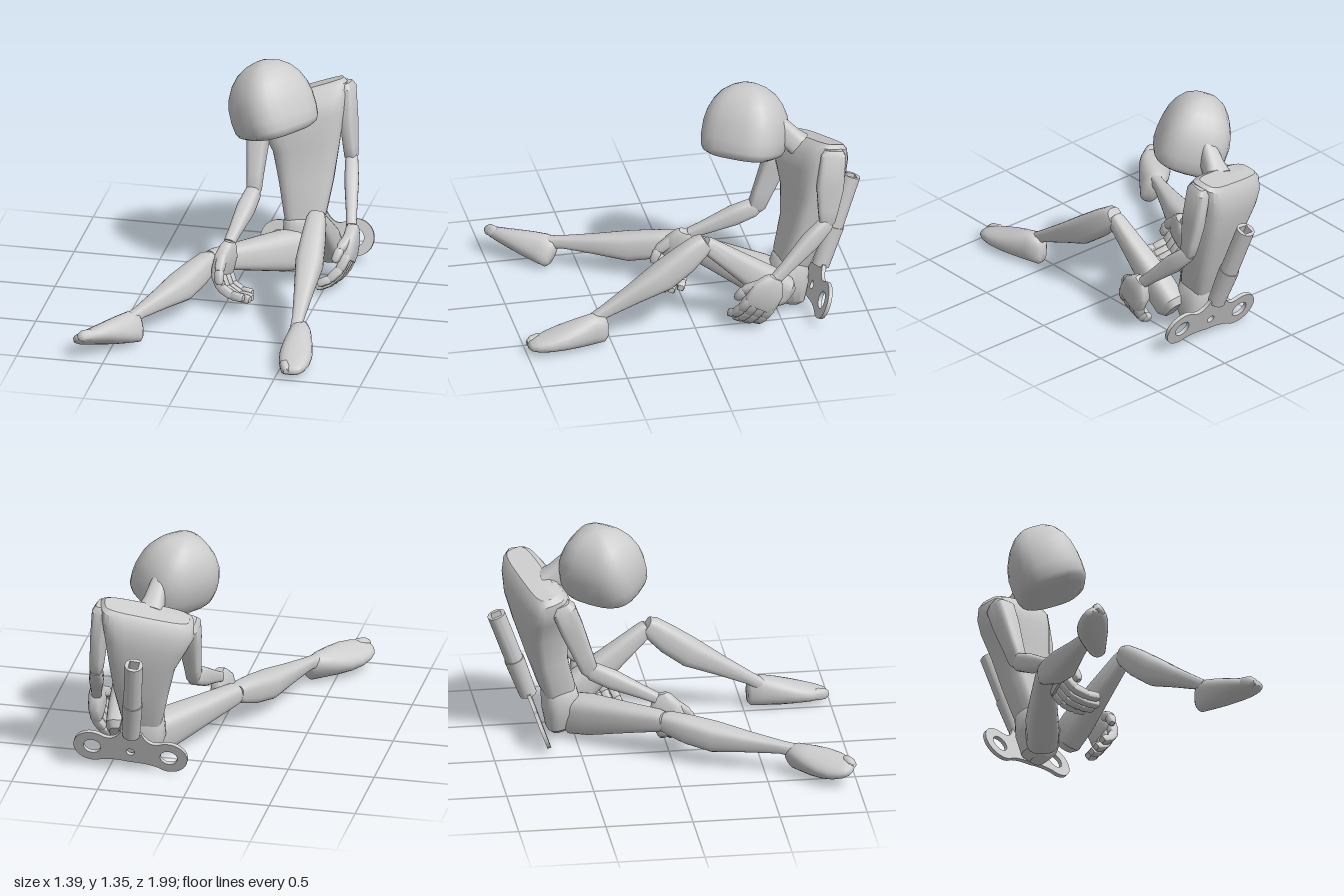
import * as THREE from 'three';
import { toCreasedNormals } from 'three/addons/utils/BufferGeometryUtils.js';

const material = new THREE.MeshStandardMaterial({ color: 0xcccccc });
const V = (a) => (a.isVector3 ? a.clone() : new THREE.Vector3(...a));
const SEG = 24;

function add(parent, name, geometry) {
  const mesh = new THREE.Mesh(geometry, material);
  mesh.name = name;
  parent.add(mesh);
  return mesh;
}

// Closed skin over rings { c: centre, u, v: half axes }, stacked along u x v
function loft(rings, power, crease = 0.6) {
  const pos = [], idx = [];
  const bend = (x) => Math.sign(x) * Math.pow(Math.abs(x), 2 / power);
  for (const { c, u, v } of rings) {
    for (let j = 0; j < SEG; j++) {
      const t = (j / SEG) * Math.PI * 2;
      const p = c.clone().addScaledVector(u, bend(Math.cos(t))).addScaledVector(v, bend(Math.sin(t)));
      pos.push(p.x, p.y, p.z);
    }
  }
  const last = rings.length - 1, start = rings.length * SEG;
  pos.push(...rings[0].c.toArray(), ...rings[last].c.toArray());
  for (let j = 0; j < SEG; j++) {
    const k = (j + 1) % SEG, e = last * SEG;
    for (let i = 0; i < last; i++) {
      const a = i * SEG, b = a + SEG;
      idx.push(a + j, a + k, b + k, a + j, b + k, b + j);
    }
    idx.push(start, k, j, start + 1, e + j, e + k);
  }
  const g = new THREE.BufferGeometry();
  g.setAttribute('position', new THREE.Float32BufferAttribute(pos, 3));
  g.setIndex(idx);
  return toCreasedNormals(g, crease);
}

// Limb from a to b; sections are [t, half width along side, half depth, width offset, depth offset]
function limb(parent, name, a, b, side, sections, power = 3, crease = 0.6) {
  a = V(a); b = V(b);
  const axis = b.clone().sub(a).normalize();
  const u = V(side); u.addScaledVector(axis, -u.dot(axis)).normalize();
  const v = axis.clone().cross(u);
  const rings = sections.map(([t, w, d, ou = 0, ov = 0]) => ({
    c: a.clone().lerp(b, t).addScaledVector(u, ou).addScaledVector(v, ov),
    u: u.clone().multiplyScalar(w), v: v.clone().multiplyScalar(d),
  }));
  return add(parent, name, loft(rings, power, crease));
}

// Hand from its wrist: thumb side, pointing direction, and the way the fingers curl
function hand(parent, name, wrist, spread, along, palm, curl) {
  const g = new THREE.Group();
  g.name = name;
  parent.add(g);
  const y = V(along).normalize();
  const x = V(spread); x.addScaledVector(y, -x.dot(y)).normalize();
  const z = x.clone().cross(y); if (z.dot(V(palm)) < 0) z.negate();
  const at = (i, j, k) => V(wrist).addScaledVector(x, i).addScaledVector(y, j).addScaledVector(z, k);
  limb(g, 'palm', at(-0.01, -0.03, 0), at(0, 0.18, 0), x,
    [[0, 0.035, 0.026], [0.1, 0.058, 0.036], [0.4, 0.096, 0.043], [0.8, 0.1, 0.04], [1, 0.088, 0.027]]);
  for (let f = 0; f < 4; f++) {
    const fx = 0.072 - f * 0.048, size = [1, 1.1, 1.05, 0.9][f];
    let j = 0.155, k = 0;
    [0.085, 0.082, 0.068].forEach((len, s) => {
      const c = curl[s], r = 0.028 - s * 0.0015;
      const nj = j + Math.cos(c) * len * size, nk = k + Math.sin(c) * len * size;
      limb(g, 'finger', at(fx, j, k), at(fx, nj, nk), x,
        [[-0.1, r * 0.75, r * 0.75], [0.1, r * 0.9, r], [0.9, r * 0.87, r * 0.94], [1.08, r * 0.65, r * 0.65]], 4);
      j = nj; k = nk;
    });
  }
  limb(g, 'thumbBase', at(0.05, 0.05, 0.005), at(0.11, 0.125, 0.035), z,
    [[0, 0.028, 0.032], [0.8, 0.028, 0.03], [1.05, 0.018, 0.02]]);
  limb(g, 'thumbTip', at(0.108, 0.12, 0.034), at(0.118, 0.2, 0.058), z,
    [[0, 0.02, 0.02], [0.2, 0.026, 0.026], [0.8, 0.023, 0.023], [1, 0.012, 0.014]]);
}

// Foot from heel to toe, with a broad ball and a separate big toe on the inner edge
function foot(parent, name, heel, toe, side, inner) {
  const g = new THREE.Group();
  g.name = name;
  parent.add(g);
  limb(g, 'footBody', heel, toe, side, [
    [0, 0.03, 0.055, 0, 0.085], [0.04, 0.05, 0.08, 0, 0.088], [0.18, 0.066, 0.09, 0, 0.094],
    [0.38, 0.084, 0.078, 0, 0.08], [0.58, 0.094, 0.062, 0, 0.066], [0.76, 0.088, 0.047, 0, 0.053],
    [0.9, 0.068, 0.035, 0, 0.044], [0.98, 0.045, 0.024, 0, 0.04], [1.01, 0.02, 0.012, 0, 0.038]], 2.4, 0.9);
  limb(g, 'bigToe', heel, toe, side, [
    [0.78, 0.02, 0.018, inner * 0.052, 0.05], [0.86, 0.028, 0.034, inner * 0.05, 0.05],
    [0.96, 0.026, 0.032, inner * 0.04, 0.047], [1.01, 0.014, 0.016, inner * 0.034, 0.044]], 2.4, 0.9);
}

export function createModel() {
  const root = new THREE.Group();
  root.name = 'seatedFigure';

  // Torso, twisting and widening from waist to slanted shoulders: [centre, side, half width, half depth]
  const body = (name, rows, power) => add(root, name, loft(rows.map(([c, side, w, d]) => {
    const u = V(side).normalize();
    const back = new THREE.Vector3(0, 1, -0.25).cross(u).normalize();
    return { c: V(c), u: u.multiplyScalar(w), v: back.multiplyScalar(d) };
  }), power));
  body('torso', [
    [[0.325, 0.26, -0.59], [1, 0.03, -0.12], 0.105, 0.085],
    [[0.325, 0.32, -0.605], [1, 0.05, -0.15], 0.122, 0.095],
    [[0.32, 0.5, -0.66], [1, 0.1, -0.2], 0.158, 0.1],
    [[0.31, 0.7, -0.70], [0.95, 0.16, -0.26], 0.195, 0.12],
    [[0.285, 0.85, -0.715], [0.93, 0.22, -0.3], 0.245, 0.14],
    [[0.27, 0.94, -0.725], [0.92, 0.25, -0.3], 0.275, 0.13],
    [[0.267, 1.0, -0.74], [0.92, 0.25, -0.3], 0.275, 0.1],
    [[0.267, 1.025, -0.75], [0.92, 0.25, -0.3], 0.25, 0.07]], 4);
  body('pelvis', [
    [[0.345, 0.02, -0.58], [1, 0.03, -0.1], 0.05, 0.045],
    [[0.34, 0.06, -0.575], [1, 0.03, -0.1], 0.1, 0.085],
    [[0.335, 0.17, -0.57], [1, 0.03, -0.1], 0.135, 0.11],
    [[0.325, 0.28, -0.59], [1, 0.03, -0.12], 0.12, 0.098],
    [[0.325, 0.30, -0.597], [1, 0.03, -0.12], 0.11, 0.085]], 3);

  // Neck and tilted dome head, a little wider than deep
  limb(root, 'neck', [0.265, 0.98, -0.66], [0.235, 1.12, -0.5], [1, 0, 0],
    [[0, 0.075, 0.07], [0.3, 0.06, 0.065], [1, 0.045, 0.075]]);
  const centre = new THREE.Vector3(0.178, 1.13, -0.36);
  const up = new THREE.Vector3(-0.27, 0.94, -0.16).normalize().multiplyScalar(0.22);
  const dome = [[0, 0.003], [0.006, 0.11], [0.03, 0.172], [0.075, 0.207], [0.14, 0.221], [0.28, 0.227], [0.45, 0.224],
    [0.6, 0.21], [0.74, 0.182], [0.86, 0.142], [0.94, 0.094], [0.985, 0.042], [1, 0.003]];
  limb(root, 'head', centre.clone().sub(up), centre.clone().add(up), [0.74, 0.3, 0.6],
    dome.map(([t, r]) => [t, r * 0.91, r * 1.04, -0.012 * Math.sin(t * Math.PI)]), 2.9, 1.2);

  // Right arm
  limb(root, 'rightUpperArm', [0.06, 0.92, -0.61], [0.06, 0.48, -0.44], [1, 0.1, 0], [
    [0, 0.045, 0.045], [0.08, 0.066, 0.07], [0.35, 0.06, 0.07], [0.75, 0.044, 0.056], [0.94, 0.04, 0.05], [1, 0.03, 0.035]], 4);
  limb(root, 'rightForearm', [0.062, 0.5, -0.45], [0.0, 0.33, -0.07], [1, 0, 0.1], [
    [0, 0.035, 0.04], [0.06, 0.043, 0.052], [0.35, 0.05, 0.055], [0.8, 0.035, 0.036], [1, 0.032, 0.03]]);
  hand(root, 'rightHand', [0.0, 0.325, -0.03], [-0.3, 0.1, 0.95], [-0.17, -0.95, 0.22], [1, 0, 0.3], [0.65, 1.3, 1.65]);

  // Left arm
  limb(root, 'leftUpperArm', [0.52, 1.07, -0.8], [0.562, 0.61, -0.75], [1, 0, 0.1], [
    [0, 0.025, 0.05], [0.07, 0.043, 0.072], [0.5, 0.04, 0.078], [0.8, 0.036, 0.058], [0.95, 0.034, 0.045], [1, 0.025, 0.03]], 4);
  limb(root, 'leftForearm', [0.56, 0.63, -0.76], [0.628, 0.335, -0.445], [1, 0, -0.2], [
    [0, 0.03, 0.035], [0.06, 0.037, 0.045], [0.35, 0.042, 0.055], [0.8, 0.032, 0.037], [1, 0.03, 0.033]]);
  hand(root, 'leftHand', [0.64, 0.325, -0.415], [0, 0.62, 0.75], [-0.02, -0.84, 0.42], [-1, 0, 0], [0.35, 0.7, 1.1]);

  // Legs: straight right leg and raised left knee, calves hanging below the shin line
  const thigh = [[0, 0.06, 0.08], [0.06, 0.092, 0.115], [0.25, 0.094, 0.115], [0.65, 0.073, 0.082], [0.95, 0.055, 0.06], [1, 0.046, 0.05]];
  const shin = [[0, 0.046, 0.05], [0.05, 0.057, 0.065], [0.2, 0.068, 0.08, 0, -0.014], [0.4, 0.078, 0.082, 0, -0.024],
    [0.65, 0.055, 0.056, 0, -0.012], [0.9, 0.034, 0.035], [1, 0.034, 0.034]];
  limb(root, 'rightThigh', [0.335, 0.125, -0.55], [-0.105, 0.23, -0.04], [0.75, 0.1, 0.65], thigh);
  limb(root, 'rightShin', [-0.1, 0.225, -0.05], [-0.405, 0.14, 0.66], [0.9, 0.1, 0.4], shin);
  limb(root, 'leftThigh', [0.482, 0.14, -0.54], [0.515, 0.545, -0.05], [1, 0, -0.1],
    thigh.map(([t, w, d]) => [t, w * 0.8, d * 0.82]));
  limb(root, 'leftShin', [0.515, 0.555, -0.06], [0.54, 0.14, 0.6], [1, 0, 0], shin);
  foot(root, 'rightFoot', [-0.335, 0.005, 0.69], [-0.655, 0.08, 0.975], [0.62, 0.54, 0.64], 1);
  foot(root, 'leftFoot', [0.555, -0.002, 0.525], [0.6, 0.002, 0.985], [1, 0, 0], -1);

  // Wind-up key behind the back, built upright and then leaned
  const key = new THREE.Group();
  key.name = 'windUpKey';
  const extrude = (shape, depth) => new THREE.ExtrudeGeometry(shape, { depth, bevelEnabled: false, curveSegments: 24 });
  const hole = (x, r) => new THREE.Path().absarc(x, 0, r, 0, Math.PI * 2, true);

  const R = 0.108, X = 0.222, ex = X + R * Math.cos(2.1), ey = R * Math.sin(2.1);
  const bow = new THREE.Shape();
  bow.absarc(X, 0, R, -2.1, 2.1, false);
  bow.quadraticCurveTo(0.1, 0.065, 0.06, 0.15);
  bow.lineTo(-0.06, 0.15);
  bow.quadraticCurveTo(-0.1, 0.065, -ex, ey);
  bow.absarc(-X, 0, R, Math.PI - 2.1, Math.PI + 2.1, false);
  bow.quadraticCurveTo(-0.1, -0.07, 0, -0.08);
  bow.quadraticCurveTo(0.1, -0.07, ex, -ey);
  bow.holes.push(hole(X, 0.05), hole(-X, 0.05), hole(0, 0.024));
  add(key, 'keyBow', extrude(bow, 0.022)).position.z = -0.011;

  add(key, 'keyCollar', toCreasedNormals(new THREE.CylinderGeometry(0.058, 0.05, 0.25, 24), 0.6)).position.y = 0.255;
  const tube = new THREE.Shape().absarc(0, 0, 0.052, 0, Math.PI * 2, false);
  const s = 0.028;
  tube.holes.push(new THREE.Path([[-s, -s], [-s, s], [s, s], [s, -s]].map(([x, y]) => new THREE.Vector2(x, y))));
  const shaft = add(key, 'keyShaft', toCreasedNormals(extrude(tube, 0.33), 0.6));
  shaft.rotation.x = -Math.PI / 2;
  shaft.position.y = 0.365;

  const ky = new THREE.Vector3(-0.07, 0.65, -0.235).normalize();
  const kx = new THREE.Vector3(0.51, 0.045, -0.022);
  kx.addScaledVector(ky, -kx.dot(ky)).normalize();
  key.quaternion.setFromRotationMatrix(new THREE.Matrix4().makeBasis(kx, ky, kx.clone().cross(ky)));
  key.position.set(0.37, 0.12, -0.715);
  root.add(key);

  return root;
}
